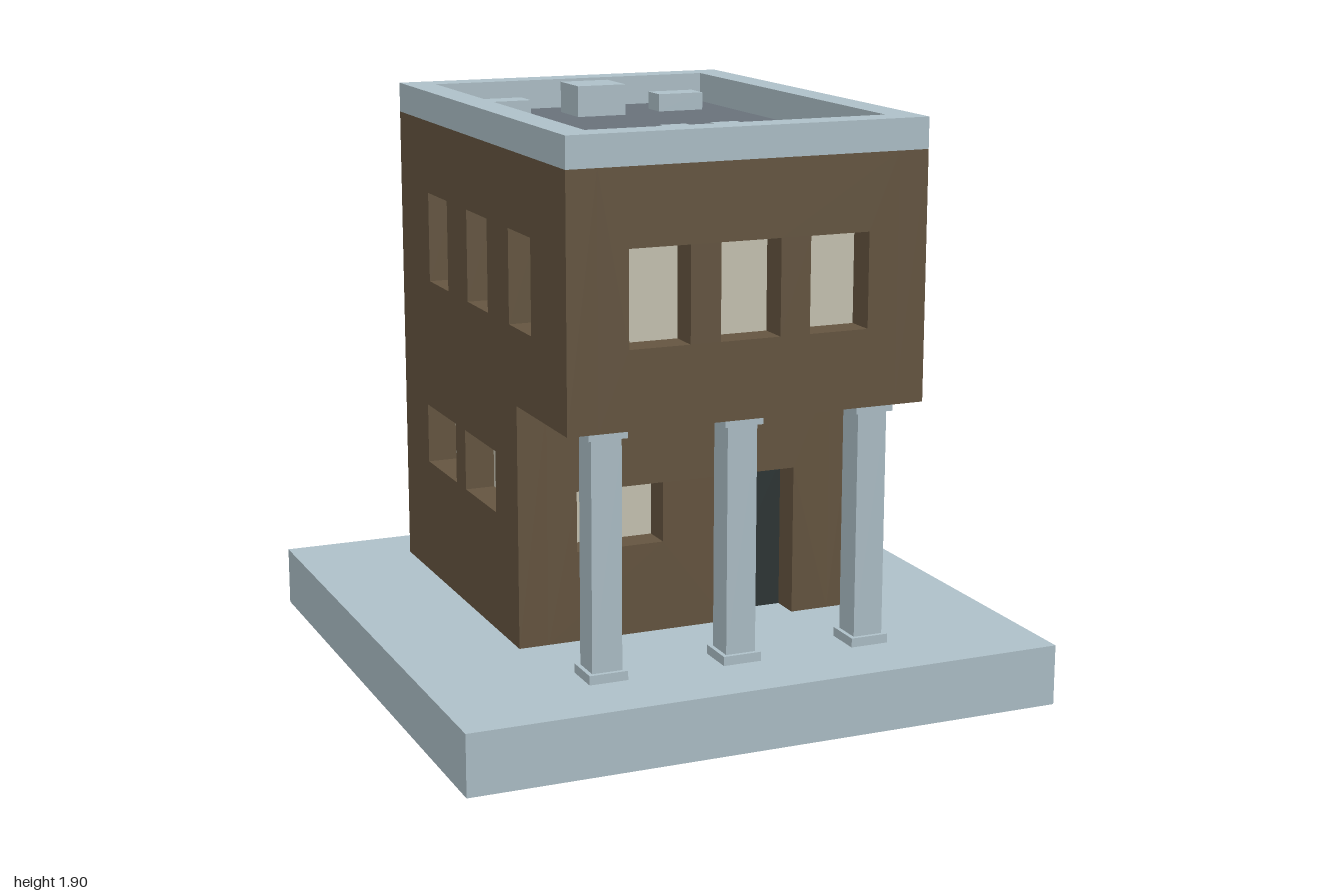
import * as THREE from 'three';

const mat = (name, color, side = THREE.FrontSide) => {
  const m = new THREE.MeshStandardMaterial({ color, side });
  m.name = name;
  return m;
};

export function createModel() {
  const model = new THREE.Group();
  model.name = 'house';
  const stone = mat('pale blue stone', 0xaec0c8, THREE.DoubleSide);
  const brick = mat('brown wall', 0x655540);
  const glass = mat('pale glass', 0xc8c4b3);
  const doorDark = mat('dark door', 0x2d3535);
  const roofGrey = mat('grey roof', 0x69717a);

  const add = (parent, name, geometry, material) => {
    const m = new THREE.Mesh(geometry, material);
    m.name = name;
    parent.add(m);
    return m;
  };
  // box given by its limits on each axis
  const box = (parent, name, material, [x0, x1], [y0, y1], [z0, z1]) => {
    const m = add(parent, name, new THREE.BoxGeometry(x1 - x0, y1 - y0, z1 - z0), material);
    m.position.set((x0 + x1) / 2, (y0 + y1) / 2, (z0 + z1) / 2);
    return m;
  };
  const toShape = pts => new THREE.Shape(pts.map(p => new THREE.Vector2(...p)));
  const rect = (x0, x1, y0, y1) => [[x0, y0], [x1, y0], [x1, y1], [x0, y1]];
  const extrude = (pts, holes, depth) => {
    const shape = toShape(pts);
    holes.forEach(h => shape.holes.push(new THREE.Path(toShape(rect(...h)).getPoints())));
    return new THREE.ExtrudeGeometry(shape, { depth, bevelEnabled: false });
  };

  // plinth: hollow slab open underneath
  const slab = new THREE.BoxGeometry(2, 0.2, 2);
  const index = Array.from(slab.index.array);
  index.splice(18, 6); // remove the bottom face
  slab.setIndex(index);
  slab.clearGroups();
  add(model, 'plinth', slab, stone).position.y = 0.1;

  // walls with deep window openings, glazed at the inner side
  const T = 0.1;
  const wall = (name, outline, windows, inner) => {
    const g = new THREE.Group();
    g.name = name;
    add(g, name + 'Panel', extrude(outline, windows, T), brick);
    const z = inner > 0 ? [T, T + 0.008] : [-0.008, 0];
    windows.forEach(([a, b, c, d]) => box(g, 'windowGlass', glass, [a, b], [c, d], z));
    model.add(g);
    return g;
  };
  const upper = [-0.4, -0.1, 0.2].map(x => [x, x + 0.2, 1.25, 1.555]);
  const upperSide = [-0.5, -0.1, 0.3].map(z => [z, z + 0.2, 1.25, 1.555]);
  const lowerSide = [-0.55, -0.15].map(z => [z, z + 0.303, 0.6, 0.805]);
  const lowerBack = [-0.35, 0.05].map(x => [x, x + 0.3, 0.6, 0.805]);

  wall('upperFrontWall', rect(-0.5, 0.5, 1, 1.8), upper, -1).position.z = 0.7;
  wall('backWall', rect(-0.5, 0.5, 0.2, 1.8), [...upper, ...lowerBack], 1).position.z = -0.8;
  // porch wall, notched for the doorway
  const porch = [[-0.5, 0.2], [0.13, 0.2], [0.13, 0.7], [0.37, 0.7], [0.37, 0.2],
    [0.5, 0.2], [0.5, 1], [-0.5, 1]];
  const porchWall = wall('porchWall', porch, [[-0.4, -0.1, 0.5, 0.7]], -1);
  porchWall.position.z = 0.26;
  box(porchWall, 'door', doorDark, [0.13, 0.37], [0.2, 0.7], [-0.008, 0]);
  // side walls follow the overhang
  const sideOutline = [[-0.8, 0.2], [0.36, 0.2], [0.36, 1], [0.8, 1], [0.8, 1.8], [-0.8, 1.8]];
  for (const s of [1, -1]) {
    const w = wall(s > 0 ? 'leftWall' : 'rightWall', sideOutline, [...upperSide, ...lowerSide], s);
    w.rotation.y = -Math.PI / 2;
    w.position.x = s > 0 ? 0.6 : -0.5;
  }
  box(model, 'overhangSoffit', brick, [-0.5, 0.5], [1, 1.02], [0.26, 0.7]);

  // porch columns with base and capital
  for (const x of [-0.454, -0.001, 0.45]) {
    const c = new THREE.Group();
    c.name = 'column';
    box(c, 'columnShaft', stone, [-0.05, 0.05], [0.23, 0.97], [-0.05, 0.05]);
    for (const y of [0.2, 0.97])
      box(c, y < 0.5 ? 'columnBase' : 'columnCapital', stone, [-0.064, 0.064], [y, y + 0.03], [-0.064, 0.064]);
    c.position.set(x, 0, 0.699);
    model.add(c);
  }

  // roof, parapet and rooftop units
  box(model, 'roof', roofGrey, [-0.5, 0.5], [1.78, 1.8], [-0.7, 0.7]);
  const parapet = add(model, 'parapet',
    extrude(rect(-0.6, 0.6, -0.8, 0.8), [[-0.5, 0.5, -0.7, 0.7]], 0.1), stone);
  parapet.rotation.x = -Math.PI / 2;
  parapet.position.y = 1.8;
  const units = [
    [-0.09, 0.085, 1.905, -0.565, -0.4],
    [-0.405, -0.245, 1.86, -0.54, -0.445],
    [0.23, 0.395, 1.86, -0.54, -0.445],
    [-0.135, -0.045, 1.865, 0.405, 0.54],
    [0.04, 0.13, 1.865, 0.405, 0.54],
  ];
  for (const [x0, x1, top, z0, z1] of units)
    box(model, 'roofUnit', stone, [x0, x1], [1.8, top], [z0, z1]);

  return model;
}
